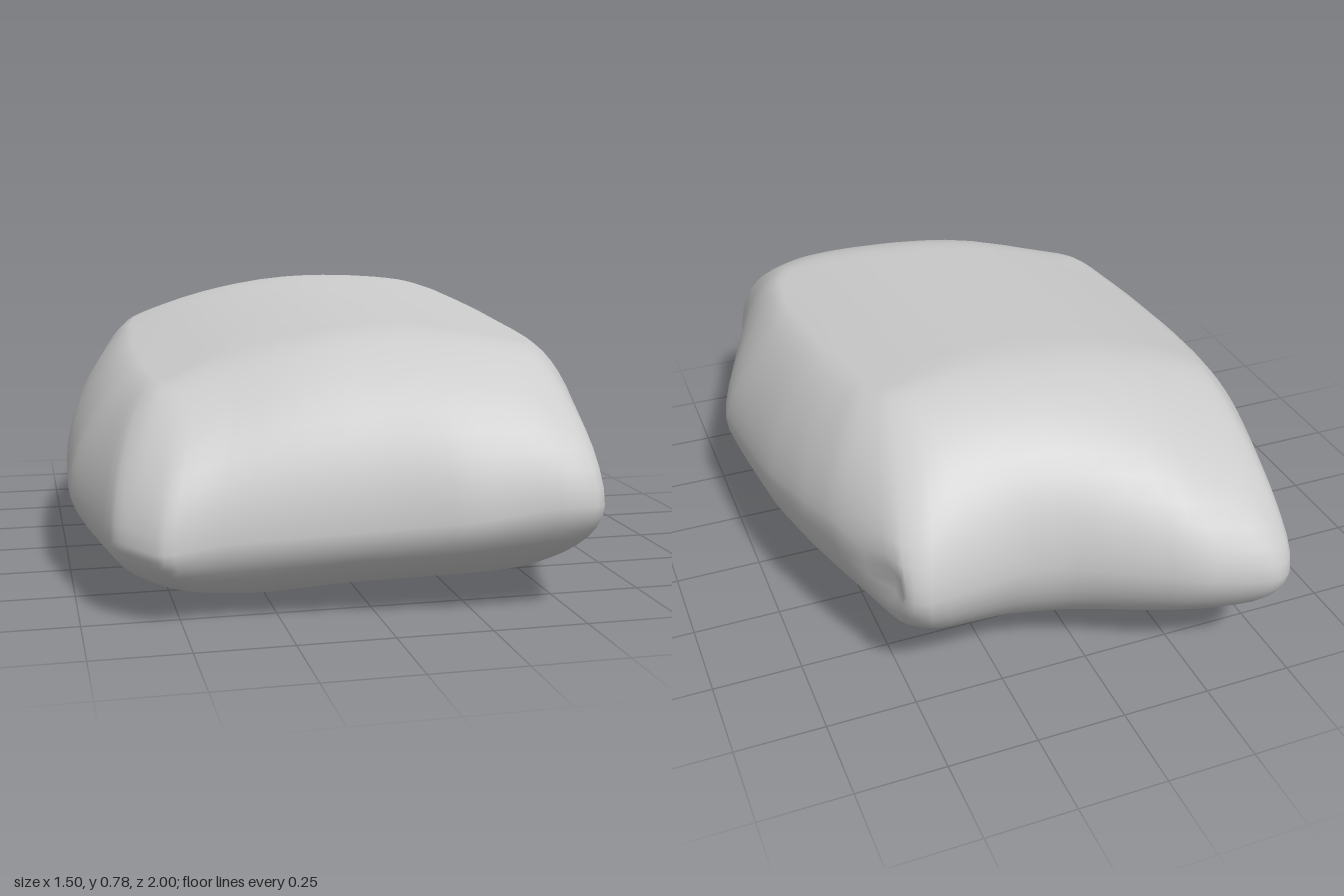
import * as THREE from 'three';

// Around the cushion, counterclockwise from above:
// seam x, height, z, then the matching point on the rim of the flat middle x, z
const RINGS = [
  [-0.42, 0.33, -1.0, -0.45, -0.38], [-0.5, 0.32, -0.95, -0.5, -0.36],
  [-0.6, 0.32, -0.62, -0.52, -0.28], [-0.7, 0.3, -0.34, -0.52, -0.18],
  [-0.735, 0.27, -0.1, -0.52, -0.05], [-0.75, 0.25, 0.27, -0.52, 0.22],
  [-0.735, 0.24, 0.4, -0.515, 0.32], [-0.67, 0.22, 0.73, -0.505, 0.45],
  [-0.62, 0.21, 0.8, -0.5, 0.49], [-0.55, 0.2, 0.86, -0.48, 0.5],
  [-0.4, 0.22, 0.86, -0.38, 0.48], [0, 0.25, 0.92, -0.02, 0.475],
  [0.2, 0.27, 0.97, 0.17, 0.495], [0.42, 0.3, 0.995, 0.37, 0.56],
  [0.54, 0.3, 0.985, 0.45, 0.58], [0.6, 0.3, 0.75, 0.485, 0.52],
  [0.72, 0.3, 0.45, 0.51, 0.42], [0.745, 0.32, 0.32, 0.515, 0.33],
  [0.72, 0.36, -0.07, 0.49, -0.03], [0.68, 0.4, -0.3, 0.47, -0.18],
  [0.63, 0.42, -0.47, 0.46, -0.27], [0.54, 0.36, -0.73, 0.43, -0.34],
  [0.46, 0.35, -0.78, 0.38, -0.36], [0.2, 0.36, -0.765, 0.2, -0.33],
  [0.06, 0.36, -0.8, 0.06, -0.33], [-0.22, 0.35, -0.95, -0.22, -0.35],
];
const AROUND = RINGS.length * 4, SIDE = 12, INNER = 5;
const CENTRE_Z = 0.05, LOW_WIDTH = 0.82, SOFTEN = 9;

const topHeight = (x, z) => 0.75 - 0.08 * z - 0.34 * (x - 0.12) ** 2;
const bottomHeight = (x) => 0.018 + 0.06 * x + 0.21 * Math.max(0, -0.3 - x);

// Smooth closed loop through points, sampled evenly between them
function sampleLoop(points) {
  const curve = new THREE.CatmullRomCurve3(points, true, 'catmullrom', 0.25);
  return Array.from({ length: AROUND }, (_, i) => curve.getPoint(i / AROUND));
}

// Each point averaged with its neighbours, which rounds off the corners
function softenLoop(loop) {
  return loop.map((_, i) => {
    const sum = new THREE.Vector3();
    for (let d = -SOFTEN; d <= SOFTEN; d++) sum.add(loop[(i + d + AROUND) % AROUND]);
    return sum.divideScalar(2 * SOFTEN + 1);
  });
}

function cushionGeometry() {
  const seam = sampleLoop(RINGS.map(([x, y, z]) => new THREE.Vector3(x, y, z)));
  const soft = softenLoop(seam);
  const rim = sampleLoop(RINGS.map((r) => new THREE.Vector3(r[3], 0, r[4])));
  const lowRim = rim.map((r) => new THREE.Vector3(r.x * LOW_WIDTH, 0, r.z));
  const creaseAt = new THREE.Vector3(0.56, 0.36, -0.68);
  const pos = [], index = [];

  // one loop of the flat middle, above or below
  const addInner = (loop, scale, height) => {
    for (const r of loop) {
      const x = r.x * scale, z = CENTRE_Z + (r.z - CENTRE_Z) * scale;
      pos.push(x, height(x, z), z);
    }
  };
  // one loop of the rounded side; phi runs from the lower rim to the upper
  const addSide = (phi) => {
    const upper = phi >= 0;
    seam.forEach((p, i) => {
      const r = upper ? rim[i] : lowRim[i];
      const sideways = Math.abs(p.x - r.x) / Math.hypot(p.x - r.x, p.z - r.z);
      const n = upper ? 1.95 - 0.3 * sideways : 1.9;
      const s = Math.pow(Math.cos(phi), 2 / n);
      const h = Math.pow(Math.abs(Math.sin(phi)), 2 / n);
      const limit = upper ? topHeight(r.x, r.z) : bottomHeight(r.x);
      // corners are sharp at the seam and fade out away from it
      const target = new THREE.Vector3().lerpVectors(soft[i], p, s * s);
      const v = new THREE.Vector3().lerpVectors(r, target, s);
      v.y = p.y + (limit - p.y) * h;
      // pinched crease beside the back corner
      v.x -= 0.04 * Math.exp(-((v.distanceTo(creaseAt) / 0.07) ** 2));
      pos.push(v.x, v.y, v.z);
    });
  };

  for (let j = 1; j <= INNER; j++) addInner(lowRim, j / INNER, bottomHeight);
  for (let j = 1; j < 2 * SIDE; j++) addSide((j / SIDE - 1) * Math.PI / 2);
  for (let j = INNER; j > 0; j--) addInner(rim, j / INNER, topHeight);

  const loops = pos.length / 3 / AROUND;
  for (let j = 0; j < loops - 1; j++) {
    for (let i = 0; i < AROUND; i++) {
      const a = j * AROUND + i, b = j * AROUND + (i + 1) % AROUND;
      index.push(a, b, b + AROUND, a, b + AROUND, a + AROUND);
    }
  }
  // close the middle of the underside and the top
  const low = loops * AROUND, high = low + 1, last = low - AROUND;
  pos.push(0, bottomHeight(0), CENTRE_Z, 0, topHeight(0, CENTRE_Z), CENTRE_Z);
  for (let i = 0; i < AROUND; i++) {
    const k = (i + 1) % AROUND;
    index.push(low, k, i, high, last + i, last + k);
  }
  const geometry = new THREE.BufferGeometry();
  geometry.setAttribute('position', new THREE.Float32BufferAttribute(pos, 3));
  geometry.setIndex(index);
  geometry.computeVertexNormals();
  return geometry;
}

export function createModel() {
  const group = new THREE.Group();
  group.name = 'pillow';
  const fabric = new THREE.MeshStandardMaterial({ color: 0xcccccc });
  fabric.name = 'light grey fabric';
  const cushion = new THREE.Mesh(cushionGeometry(), fabric);
  cushion.name = 'cushion';
  group.add(cushion);
  return group;
}
